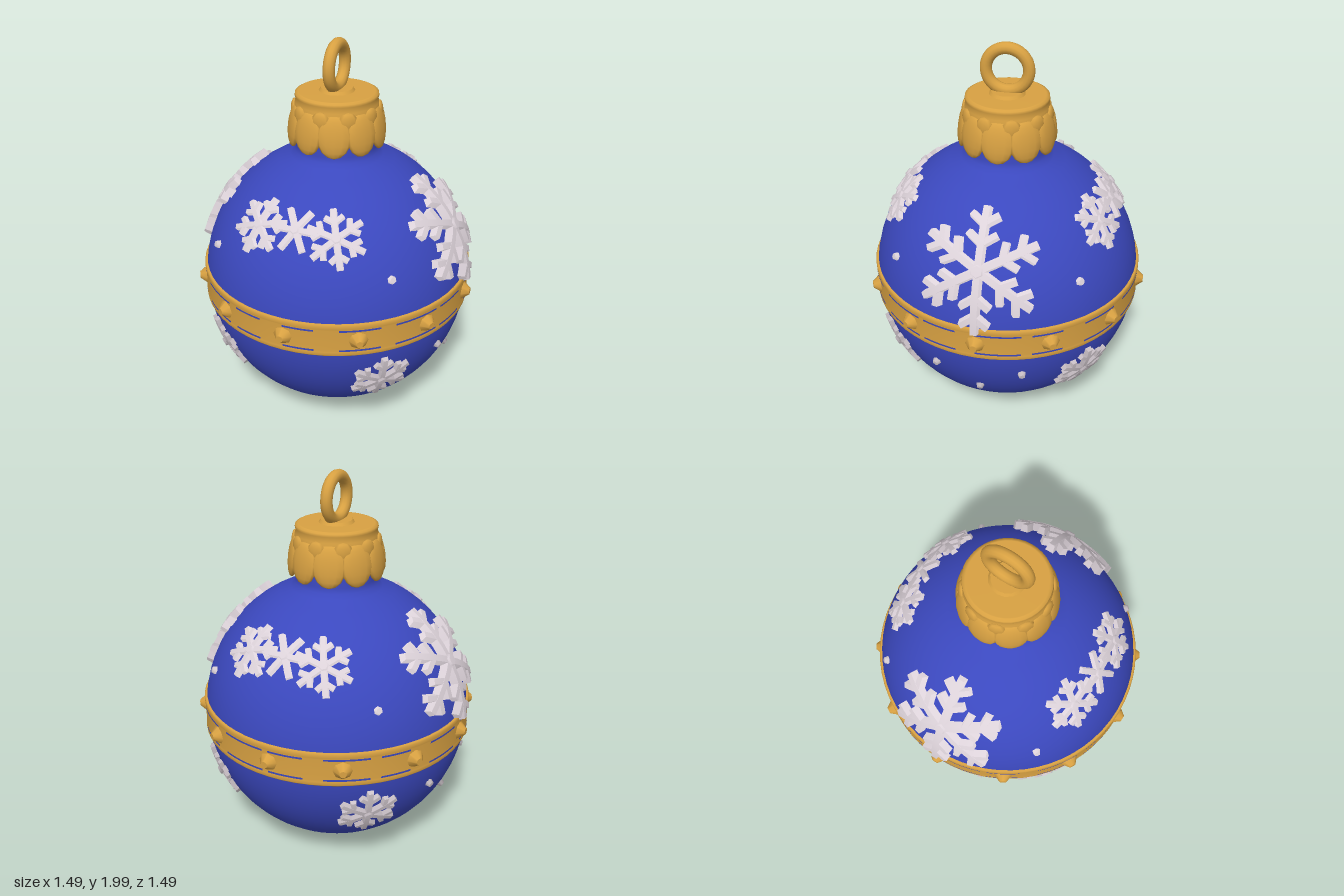
import * as THREE from 'three';
import { mergeGeometries } from 'three/addons/utils/BufferGeometryUtils.js';

const RX = 0.707, RY = 0.722, CY = 0.73; // ball radii and centre height
const V2 = (x, y) => new THREE.Vector2(x, y);

// Returns a function wrapping flat (u, v, height) onto the ball around an azimuth (0 = +z) and height y
function wrapper(azimuth, y) {
  const e = Math.asin((y - CY) / RY);
  const n = new THREE.Vector3(Math.sin(azimuth) * Math.cos(e), Math.sin(e), Math.cos(azimuth) * Math.cos(e));
  const t = new THREE.Vector3(Math.cos(azimuth), 0, -Math.sin(azimuth));
  const b = new THREE.Vector3().crossVectors(n, t);
  return (u, v, h) => {
    const len = Math.hypot(u, v) || 1e-6, th = len / 0.71;
    const d = n.clone().multiplyScalar(Math.cos(th))
      .addScaledVector(t, Math.sin(th) * u / len)
      .addScaledVector(b, Math.sin(th) * v / len);
    return new THREE.Vector3(d.x * (RX + h), CY + d.y * (RY + h), d.z * (RX + h));
  };
}

// Wraps a flat geometry on the ball and softens its normals towards the ball's
function wrapGeometry(geo, wrap) {
  const p = geo.attributes.position;
  for (let i = 0; i < p.count; i++) {
    const q = wrap(p.getX(i), p.getY(i), p.getZ(i));
    p.setXYZ(i, q.x, q.y, q.z);
  }
  geo.computeVertexNormals();
  const nor = geo.attributes.normal;
  for (let i = 0; i < p.count; i++) {
    const out = new THREE.Vector3(p.getX(i), p.getY(i) - CY, p.getZ(i)).normalize();
    out.addScaledVector(new THREE.Vector3().fromBufferAttribute(nor, i), 0.6).normalize();
    nor.setXYZ(i, out.x, out.y, out.z);
  }
  return geo;
}

// Bevelled bar lying in the uv plane, starting at (u, v) and running along an angle
function bar(u, v, angle, length, width, height) {
  const g = new THREE.BoxGeometry(length, width, 1, 4, 1, 1);
  const p = g.attributes.position;
  for (let i = 0; i < p.count; i++) {
    const top = p.getZ(i) > 0;
    p.setXYZ(i, p.getX(i) * (top ? 0.94 : 1), p.getY(i) * (top ? 0.6 : 1), top ? height : -0.01);
  }
  return g.translate(length / 2, 0, 0).rotateZ(angle).translate(u, v, 0);
}

// Six-armed snowflake; branches are [position, length] pairs as fractions of the arm
function flake(azimuth, y, radius, width, height, branches, { du = 0, turn = Math.PI / 2 } = {}) {
  const parts = [];
  for (let k = 0; k < 6; k++) {
    const a = turn + k * Math.PI / 3;
    parts.push(bar(du, 0, a, radius, width, height));
    for (const [at, len] of branches) for (const s of [-1, 1]) {
      parts.push(bar(du + Math.cos(a) * radius * at, Math.sin(a) * radius * at,
        a + s * 0.95, radius * len, width * 0.9, height * 0.95));
    }
  }
  const hub = new THREE.CylinderGeometry(width * 0.5, width * 1.1, height + 0.02, 6);
  parts.push(hub.rotateX(Math.PI / 2).translate(du, 0, height / 2));
  return wrapGeometry(mergeGeometries(parts), wrapper(azimuth, y));
}

export function createModel() {
  const root = new THREE.Group();
  const material = (name, color) => {
    const m = new THREE.MeshStandardMaterial({ color });
    m.name = name;
    return m;
  };
  const blue = material('blue', 0x3b48be);
  const gold = material('gold', 0xd8a142);
  const white = material('frost white', 0xdcd2d9);
  const add = (name, geo, mat, parent = root) => {
    const m = new THREE.Mesh(geo, mat);
    m.name = name;
    parent.add(m);
  };
  const group = (name) => {
    const g = new THREE.Group();
    g.name = name;
    root.add(g);
    return g;
  };

  // Ball with a short neck
  const profile = [];
  for (let i = 0; i <= 30; i++) {
    const a = -Math.PI / 2 + (i / 30) * (Math.PI / 2 + 1.23);
    profile.push(V2(Math.max(Math.cos(a) * RX, 0), CY + Math.sin(a) * RY));
  }
  profile.push(V2(0.215, 1.435), V2(0.203, 1.46), V2(0.2, 1.56));
  add('ball', new THREE.LatheGeometry(profile, 64), blue);

  // Thin belt with slightly raised rims
  const belt = group('belt');
  const beltProfile = [[0.68, 0.648], [0.709, 0.648], [0.714, 0.654], [0.714, 0.672], [0.711, 0.679],
    [0.711, 0.797], [0.714, 0.804], [0.714, 0.822], [0.709, 0.828], [0.68, 0.828]].map(([x, y]) => V2(x, y));
  add('beltBand', new THREE.LatheGeometry(beltProfile, 64), gold, belt);

  // Broken blue grooves along the rims
  for (const y of [0.682, 0.794]) {
    for (let i = 0; i < 16; i++) {
      const arc = 0.22 + 0.13 * ((i * 7) % 5) / 4;
      const g = new THREE.CylinderGeometry(0.7145, 0.7145, 0.01, 8, 1, true, i * Math.PI / 8, arc);
      add('beltGroove', g.translate(0, y, 0), blue, belt);
    }
  }

  // Twelve blunt studs
  for (let i = 0; i < 12; i++) {
    const g = new THREE.CylinderGeometry(0.018, 0.054, 0.045, 8);
    g.rotateX(Math.PI / 2).translate(0, 0.736, 0.724).rotateY(i * Math.PI / 6);
    add('beltStud', g, gold, belt);
  }

  // Cap body
  const cap = group('cap');
  const capProfile = [[0.2, 1.53], [0.228, 1.53], [0.222, 1.62], [0.21, 1.69], [0.204, 1.705], [0.21, 1.72],
    [0.208, 1.733], [0.195, 1.74], [0.19, 1.7405], [0, 1.741]].map(([x, y]) => V2(x, y));
  add('capBody', new THREE.LatheGeometry(capProfile, 40), gold, cap);

  // Overlapping petals around the cap
  for (let i = 0; i < 10; i++) {
    const g = new THREE.SphereGeometry(1, 12, 8).scale(0.084, 0.108, 0.028);
    g.rotateX(-0.14).translate(0, 1.575, 0.219).rotateY((i + 0.5) * Math.PI / 5);
    add('capPetal', g, gold, cap);
    const s = new THREE.SphereGeometry(1, 8, 6).scale(0.05, 0.055, 0.02);
    add('capUpperPetal', s.translate(0, 1.64, 0.212).rotateY(i * Math.PI / 5), gold, cap);
  }

  // Hanging ring on a small plate
  add('ringPlate', new THREE.CylinderGeometry(0.08, 0.095, 0.02, 16).translate(0, 1.745, 0), gold, cap);
  add('hangingRing', new THREE.TorusGeometry(0.107, 0.03, 12, 32).rotateY(Math.PI / 2)
    .translate(0, 1.863, 0), gold, cap);

  // Large snowflakes on both sides
  const frost = group('snowflakes');
  for (const s of [-1, 1]) {
    add('largeSnowflake', flake(s * Math.PI / 2, 1.1, 0.31, 0.052, 0.04,
      [[0.4, 0.28], [0.7, 0.27]]), white, frost);
  }

  // Rows of three linked snowflakes, front and back
  for (const a of [0, Math.PI]) {
    add('middleSnowflake', flake(a, 1.215, 0.115, 0.04, 0.022, [], { turn: 0 }), white, frost);
    for (const du of [-0.2, 0.2]) {
      add('linkedSnowflake', flake(a, 1.215, 0.15, 0.04, 0.022, [[0.52, 0.36]],
        { du, turn: -du * 0.8 }), white, frost);
    }
  }

  // Small snowflakes below the belt
  const lowerAzimuth = 0.72;
  for (const a of [lowerAzimuth, -lowerAzimuth, Math.PI - lowerAzimuth, Math.PI + lowerAzimuth]) {
    add('smallSnowflake', flake(a, 0.445, 0.16, 0.04, 0.022, [[0.55, 0.36]]), white, frost);
  }

  // Frost dots
  const dot = (a, y) => {
    const g = new THREE.CylinderGeometry(0.015, 0.026, 0.03, 6).rotateX(Math.PI / 2).translate(0, 0, 0.005);
    add('frostDot', wrapGeometry(g, wrapper(a, y)), white, frost);
  };
  for (let i = 0; i < 4; i++) dot(Math.PI / 4 + i * Math.PI / 2, 1.01);
  for (const s of [-1, 1]) {
    dot(s * Math.PI / 2, 0.39);
    for (const d of [-0.33, 0.33]) dot(s * Math.PI / 2 + d, 0.525);
  }

  return root;
}
